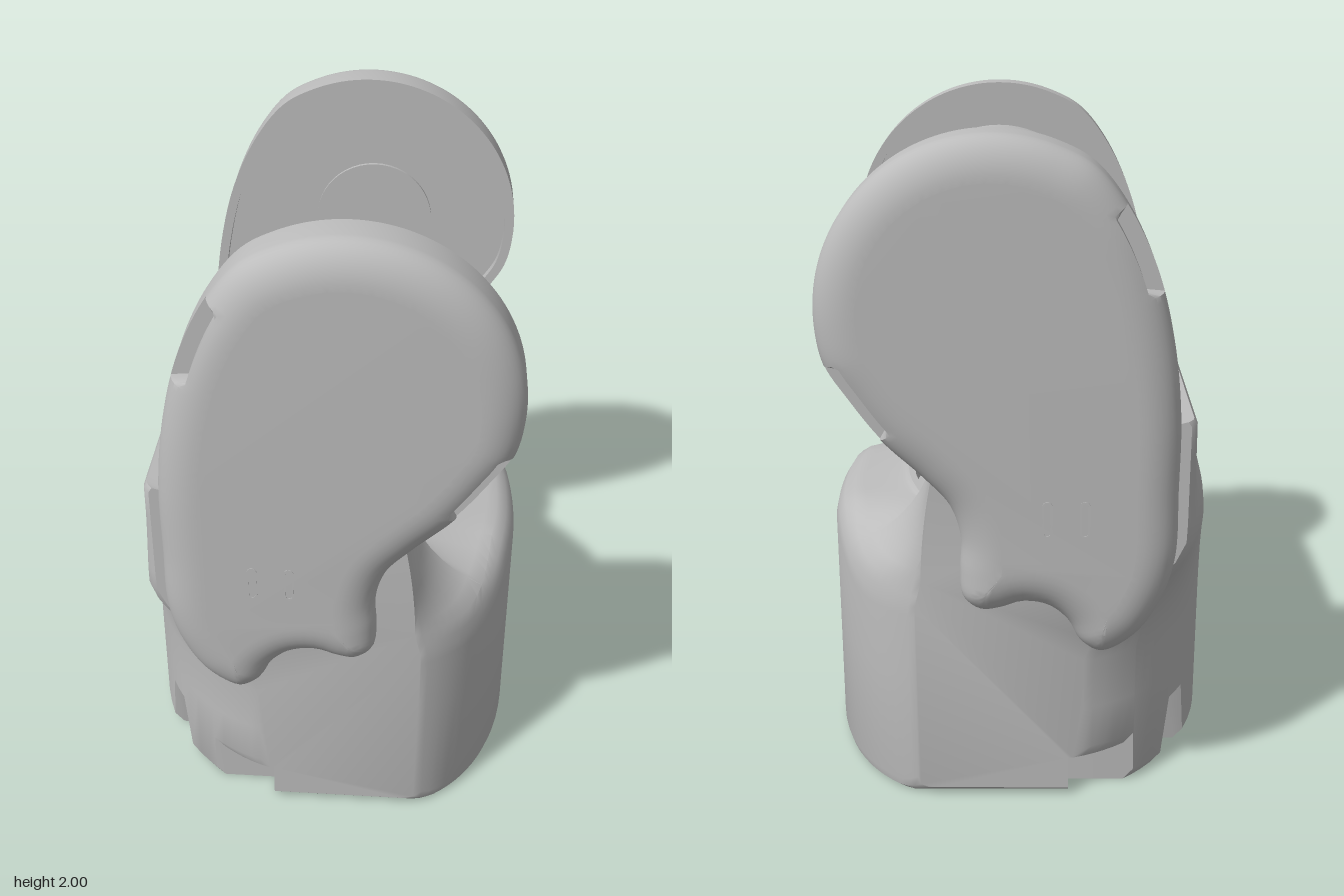
import * as THREE from 'three';
import { toCreasedNormals } from 'three/addons/utils/BufferGeometryUtils.js';

const grey = new THREE.MeshStandardMaterial({ color: 0xbcbcbc, side: THREE.DoubleSide });
grey.name = 'plain grey';

const { lerp, smoothstep, clamp } = THREE.MathUtils;
const FLOOR = 0.74;

function add(group, name, geometry, x = 0, y = 0, z = 0) {
  const mesh = new THREE.Mesh(geometry, grey);
  mesh.name = name;
  mesh.position.set(x, y, z);
  group.add(mesh);
  return mesh;
}

function box(group, name, x0, x1, y0, y1, z0, z1) {
  return add(group, name, new THREE.BoxGeometry(x1 - x0, y1 - y0, z1 - z0),
    (x0 + x1) / 2, (y0 + y1) / 2, (z0 + z1) / 2);
}

function lathe(profile, sides) {
  return toCreasedNormals(new THREE.LatheGeometry(profile.map(([r, y]) => new THREE.Vector2(r, y)), sides), 0.5);
}

// Skin over closed rings of [x, y, z] points, capped at both ends
function skin(rings, flip = false, skip = () => false) {
  const n = rings[0].length, index = [];
  const tri = (a, b, c) => (flip ? index.push(a, c, b) : index.push(a, b, c));
  for (let i = 0; i < rings.length - 1; i++) {
    for (let j = 0; j < n; j++) {
      if (skip(i, j)) continue;
      const k = (j + 1) % n, a = i * n + j, b = i * n + k;
      tri(a, b, a + n);
      tri(b, b + n, a + n);
    }
  }
  for (const end of [0, rings.length - 1]) {
    const contour = rings[end].map((p) => new THREE.Vector2(p[0], p[1]));
    for (const [a, b, c] of THREE.ShapeUtils.triangulateShape(contour, [])) {
      const o = end * n;
      if (end) tri(a + o, b + o, c + o);
      else tri(a, c, b);
    }
  }
  const g = new THREE.BufferGeometry();
  g.setAttribute('position', new THREE.Float32BufferAttribute(rings.flat(2), 3));
  g.setIndex(index);
  return toCreasedNormals(g, 0.6);
}

// Side-on cross-section of the base at depth z, running anticlockwise
function baseSection(z) {
  const az = Math.abs(z);
  const end = Math.max(0, (az - 0.58) / 0.04) ** 2;
  const bottom = 0.025 * end;
  // footprint at the front and back, then the wider back at mid height and its straight top
  const xf = 0.1 + 0.49 * (1 - (az / 0.66) ** 2.3) ** (1 / 2.3);
  const xb = -0.06 - 0.53 * Math.sqrt(1 - (az / 0.64) ** 2);
  const xm = -0.59 + 0.09 * (az / 0.62) ** 2 + 0.02 * end;
  const xt = -0.5 + 0.02 * end;
  // cut-outs along the lower rim of the back corners
  const slot = az > 0.31 && az < 0.43 ? 0.18 : bottom;
  const notch = az > 0.535 ? 0.13 : bottom;
  const left = xb + 0.03;
  const backY = left > -0.38 ? notch : left > -0.49 ? slot : bottom;
  const at = (x, y) => [Math.max(x, left), x < left ? backY : y];
  // crest of the front wall with an ear at each side
  const ear = az > 0.402, side = smoothstep(az, 0.2, 0.52);
  const xc = 0.34 - 0.12 * Math.min(1, az / 0.4) ** 2;
  const t = clamp((az - 0.3) / 0.1, 0, 1);
  const crest = ear ? 1.05 - 0.02 * end : 0.85 + 0.1 * (1 - Math.sqrt(1 - t * t));
  const floor = az > 0.535 ? 1.0 : FLOOR;
  const ys = lerp(0.73, 0.6, side), o = lerp(1, 0.35, side);
  const p = [
    [left, backY], at(-0.49, bottom), at(-0.49, slot - Math.min(0.02, slot)), at(-0.46, slot),
    at(-0.43, slot - Math.min(0.02, slot)), at(-0.43, bottom), at(-0.38, bottom), at(-0.38, notch),
    [-0.15, notch], [-0.15, bottom], [Math.min(0.35, xf - 0.05), bottom], [xf - 0.03, bottom],
    [xf - 0.008, 0.01 + bottom], [xf, 0.035 + bottom], [xf, 0.4], [xf, ys],
    [xf - 0.008 * o, ys + 0.035], [xf - 0.028 * o, ys + 0.067],
  ];
  // concave sweep from the shoulder up to the crest
  const sweep = new THREE.QuadraticBezierCurve(new THREE.Vector2(xf - 0.06 * o, ys + lerp(0.085, 0.11, side)),
    new THREE.Vector2(Math.min(xc + 0.06, xf - 0.06 * o), lerp(0.83, 0.86, side)),
    new THREE.Vector2(xc + 0.03, crest - 0.01));
  for (const q of sweep.getPoints(8)) p.push([q.x, q.y]);
  const inner = ear ? 0.17 : xc;
  p.push([xc + 0.02, crest], [inner, crest], [inner, floor], [-0.45, floor], [-0.45, 1.2], [xt + 0.01, 1.205]);
  // back wall: flat at the top, flowing into the rounded foot
  for (const y of [1.19, 1.1, 1.03, 0.96, 0.9, 0.84, 0.78, 0.72, 0.66, 0.6, 0.53, 0.46, 0.3])
    p.push([lerp(lerp(xb, xm, smoothstep(y, 0.46, 0.86)), xt, smoothstep(y, 0.76, 1.17)), y]);
  p.push([xb, backY + 0.035]);
  return p.map(([x, y]) => [x, y, z]);
}

function buildBase(group) {
  const half = [0, 0.06, 0.12, 0.18, 0.24, 0.3, 0.33, 0.36, 0.38, 0.39, 0.4, 0.405, 0.44, 0.48,
    0.51, 0.534, 0.536, 0.56, 0.58, 0.595, 0.61, 0.62];
  const zs = [...half.slice(1).reverse().map((z) => -z), ...half];
  // leave a square opening in the underside for the socket panel
  const open = (i, j) => j >= 6 && j <= 9 && Math.abs(zs[i] + zs[i + 1]) / 2 < 0.4;
  add(group, 'baseBody', skin(zs.map(baseSection), false, open));

  const panel = new THREE.Shape([[-0.38, -0.4], [0.35, -0.4], [0.35, 0.4], [-0.38, 0.4]]
    .map(([x, y]) => new THREE.Vector2(x, y)));
  panel.holes.push(new THREE.Path().absarc(0, 0, 0.27, 0, Math.PI * 2));
  add(group, 'undersidePanel', new THREE.ShapeGeometry(panel, 32)).rotation.x = Math.PI / 2;
  add(group, 'undersideSocket',
    lathe([[0, 0.035], [0.25, 0.035], [0.25, 0.012], [0.27, 0.012], [0.27, 0]], 48));
}

function buildInterior(group) {
  const f = FLOOR;
  add(group, 'roundPlate', new THREE.CylinderGeometry(0.445, 0.445, 0.02, 72), 0.075, f + 0.01, 0);
  box(group, 'rearLedge', -0.46, -0.28, f - 0.01, f + 0.014, -0.43, 0.43);
  for (const s of [-1, 1]) {
    const pair = (name, x0, x1, y0, y1, za, zb) =>
      box(group, name, x0, x1, y0, y1, Math.min(s * za, s * zb), Math.max(s * za, s * zb));
    pair('wallEnd', -0.47, -0.375, 1.17, 1.2, 0.37, 0.57);
    pair('ledgeBlock', -0.46, -0.28, f, f + 0.04, 0.31, 0.43);
    pair('plateTab', 0.04, 0.3, f, f + 0.04, 0.3, 0.47);
    pair('sideBar', -0.12, 0.18, f, f + 0.03, 0.485, 0.54);
    const rod = add(group, 'hingeRod', new THREE.CylinderGeometry(0.05, 0.05, 0.33, 24), -0.285, f + 0.08, s * 0.48);
    rod.rotation.z = Math.PI / 2;
    add(group, 'screwBoss',
      lathe([[0.018, 0], [0.018, 0.02], [0.03, 0.03], [0.042, 0.03], [0.042, 0]], 24), -0.21, f + 0.01, s * 0.285);
  }
}

// Outline of a side arm: round head, long waist and two-lobed foot
function armOutline() {
  const pts = [];
  for (let i = 0; i <= 11; i++) {
    const r = (-18 + i * 13) * Math.PI / 180;
    pts.push([0.073 + 0.482 * Math.cos(r), 1.518 + 0.482 * Math.sin(r)]);
  }
  pts.push([-0.295, 1.8], [-0.375, 1.63], [-0.425, 1.43], [-0.449, 1.22], [-0.45, 1.0], [-0.447, 0.8],
    [-0.41, 0.67], [-0.34, 0.56], [-0.24, 0.503], [-0.18, 0.535], [-0.14, 0.605], [-0.08, 0.652],
    [-0.01, 0.662], [0.05, 0.643], [0.11, 0.637], [0.16, 0.675], [0.168, 0.76], [0.165, 0.86],
    [0.195, 0.96], [0.27, 1.045], [0.38, 1.15], [0.47, 1.27]);
  const curve = new THREE.CatmullRomCurve3(pts.map(([x, y]) => new THREE.Vector3(x, y, 0)), true);
  return curve.getSpacedPoints(220).slice(0, 220);
}

function armGeometry(side, cavity) {
  const out = armOutline(), n = out.length;
  const R = 0.12, rise = 0.08, edge = 0.62;   // soft outer edge: inset, height and start
  const inward = out.map((p, i) => {
    const t = out[(i + 1) % n].clone().sub(out[(i + n - 1) % n]).normalize();
    return new THREE.Vector3(-t.y, t.x, 0);
  });
  // deepest inset each point allows before meeting the opposite edge
  const limit = out.map((p, i) => {
    let d = R;
    for (; d > 0.01; d -= 0.005) {
      const q = p.clone().addScaledVector(inward[i], d);
      if (out.every((o) => o.distanceTo(q) > d - 0.006)) break;
    }
    return d;
  });
  const notches = [new THREE.Vector3(-0.335, 1.69, 0), new THREE.Vector3(0.45, 1.26, 0)];
  const ring = (inset, z, rounded) => out.map((p, i) => {
    let d = inset, h = z;
    if (rounded && notches.some((c) => c.distanceTo(p) < 0.12)) d = Math.max(d, 0.045);
    d = Math.min(d, limit[i]);
    if (rounded && d < inset) h = edge + rise * Math.sin(Math.acos(1 - d / R));
    return [p.x + inward[i].x * d, p.y + inward[i].y * d, side * h];
  });
  const rings = [ring(0.03, cavity), ring(0.03, 0.53), ring(0, 0.53), ring(0, edge)];
  for (let k = 0; k <= 9; k++) {
    const a = (k / 9) * Math.PI / 2;
    rings.push(ring(R * (1 - Math.cos(a)), edge + rise * Math.sin(a), true));
  }
  return skin(rings, side < 0);
}

function buildArm(group, side) {
  const arm = new THREE.Group();
  arm.name = side > 0 ? 'frontArm' : 'rearArm';
  group.add(arm);
  add(arm, 'armShell', armGeometry(side, side > 0 ? 0.6 : 0.56));
  // two slim upright slots on the outer face
  for (const x of [-0.185, -0.08]) {
    const s = new THREE.Shape().absarc(0, 0.04, 0.014, 0, Math.PI).absarc(0, -0.04, 0.014, Math.PI, Math.PI * 2);
    s.holes.push(new THREE.Path().absarc(0, 0.04, 0.009, 0, Math.PI).absarc(0, -0.04, 0.009, Math.PI, Math.PI * 2));
    add(arm, 'slotRim', new THREE.ExtrudeGeometry(s, { depth: 0.004, bevelEnabled: false, curveSegments: 8 }),
      x, 0.945, side > 0 ? 0.698 : -0.702);
  }
  if (side > 0) {
    // stepped bearing with a central bore
    const bearing = add(arm, 'bearing', lathe([[0.13, 0], [0.13, 0.09], [0.23, 0.09], [0.23, 0.105],
      [0.28, 0.105], [0.28, 0.08], [0.33, 0.08], [0.33, 0]], 64), 0.075, 1.52, 0.6);
    bearing.rotation.x = -Math.PI / 2;
  } else {
    const pad = add(arm, 'roundPad', new THREE.CylinderGeometry(0.19, 0.19, 0.012, 48), 0.09, 1.52, -0.555);
    pad.rotation.x = Math.PI / 2;
  }
}

export function createModel() {
  const model = new THREE.Group();
  model.name = 'twinArmStand';
  buildBase(model);
  buildInterior(model);
  buildArm(model, 1);
  buildArm(model, -1);
  return model;
}
